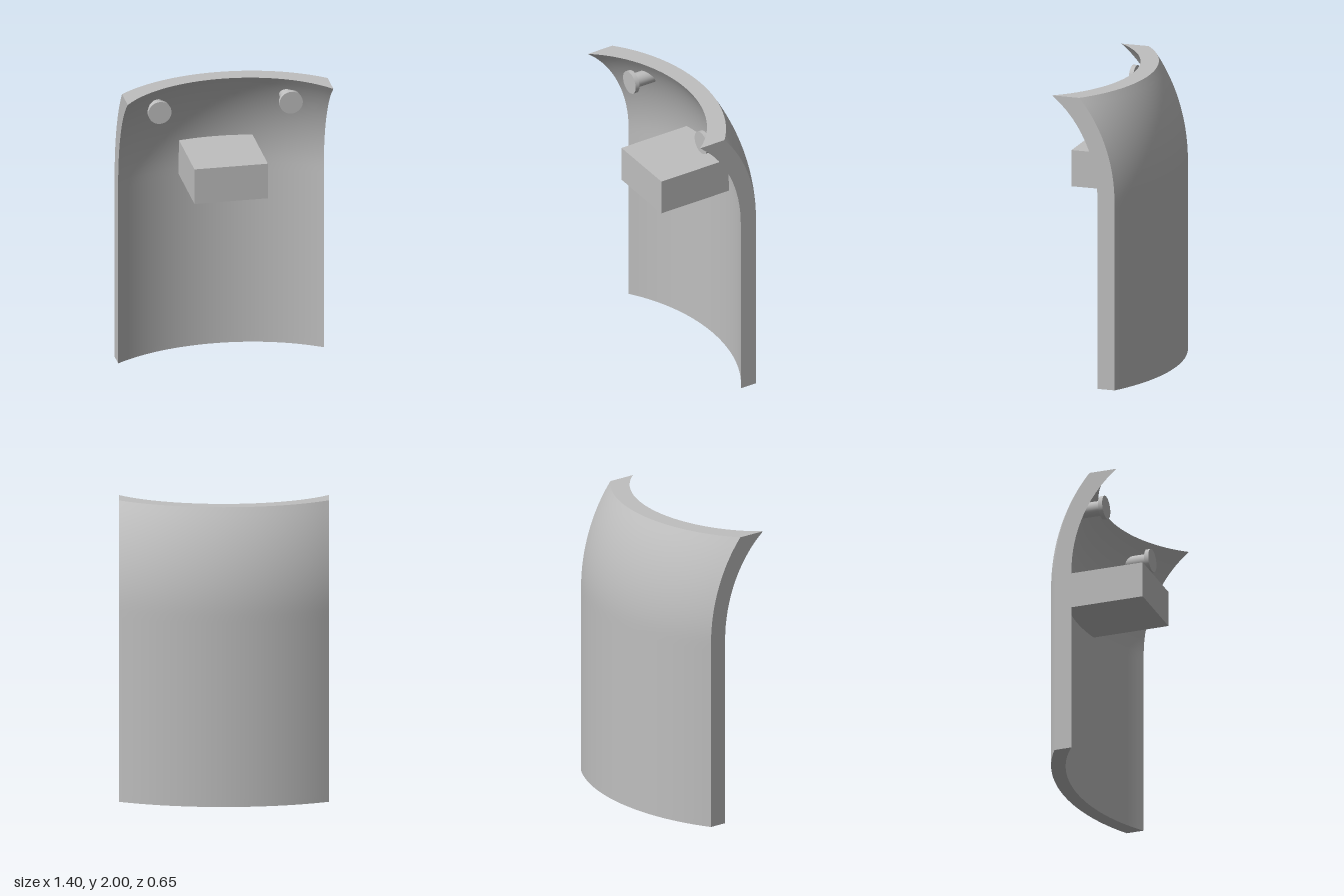
import * as THREE from 'three';

const KNEE = 1.3;       // height where the straight wall starts to curl forward
const SQUASH = 0.84;    // depth scale of the domed top
const CENTRE_Z = 0.682; // centre of curvature

// Depth of a wall skin: a cylinder below the knee, an ellipsoid above it
function skinZ(x, y, radius) {
  const h = Math.max(0, y - KNEE);
  return CENTRE_Z - SQUASH * Math.sqrt(radius * radius - x * x - h * h);
}

export function createModel() {
  const model = new THREE.Group();
  const grey = new THREE.MeshStandardMaterial({ color: 0xbfbfbf });
  grey.name = 'grey';

  function add(geometry, name, x, y, z, parent = model) {
    const mesh = new THREE.Mesh(geometry, grey);
    mesh.name = name;
    mesh.position.set(x, y, z);
    parent.add(mesh);
    return mesh;
  }

  // Curved back shell: a subdivided box bent onto inner and outer skins
  const shell = new THREE.BoxGeometry(1.4, 2, 2, 36, 40, 1);
  shell.translate(0, 1, 0);
  const p = shell.attributes.position;
  for (let i = 0; i < p.count; i++) {
    const inner = p.getZ(i) > 0;
    p.setZ(i, skinZ(p.getX(i), p.getY(i), inner ? 1.087 : 1.2));
  }
  shell.computeVertexNormals();
  add(shell, 'curvedShell', 0, 0, 0);

  // Block projecting from the inner face
  add(new THREE.BoxGeometry(0.5, 0.25, 0.585), 'shelfBlock', 0, 1.38, 0.0325);

  // Pair of flanged pegs near the top
  for (const side of [-1, 1]) {
    const peg = new THREE.Group();
    peg.name = side > 0 ? 'leftPeg' : 'rightPeg';
    peg.position.set(side * 0.447, 1.853, 0);
    const stem = new THREE.CylinderGeometry(0.05, 0.05, 0.17, 32).rotateX(Math.PI / 2);
    const flange = new THREE.CylinderGeometry(0.079, 0.079, 0.03, 40).rotateX(Math.PI / 2);
    add(stem, 'pegStem', 0, 0, 0.03, peg);
    add(flange, 'pegFlange', 0, 0, 0.123, peg);
    model.add(peg);
  }
  return model;
}
